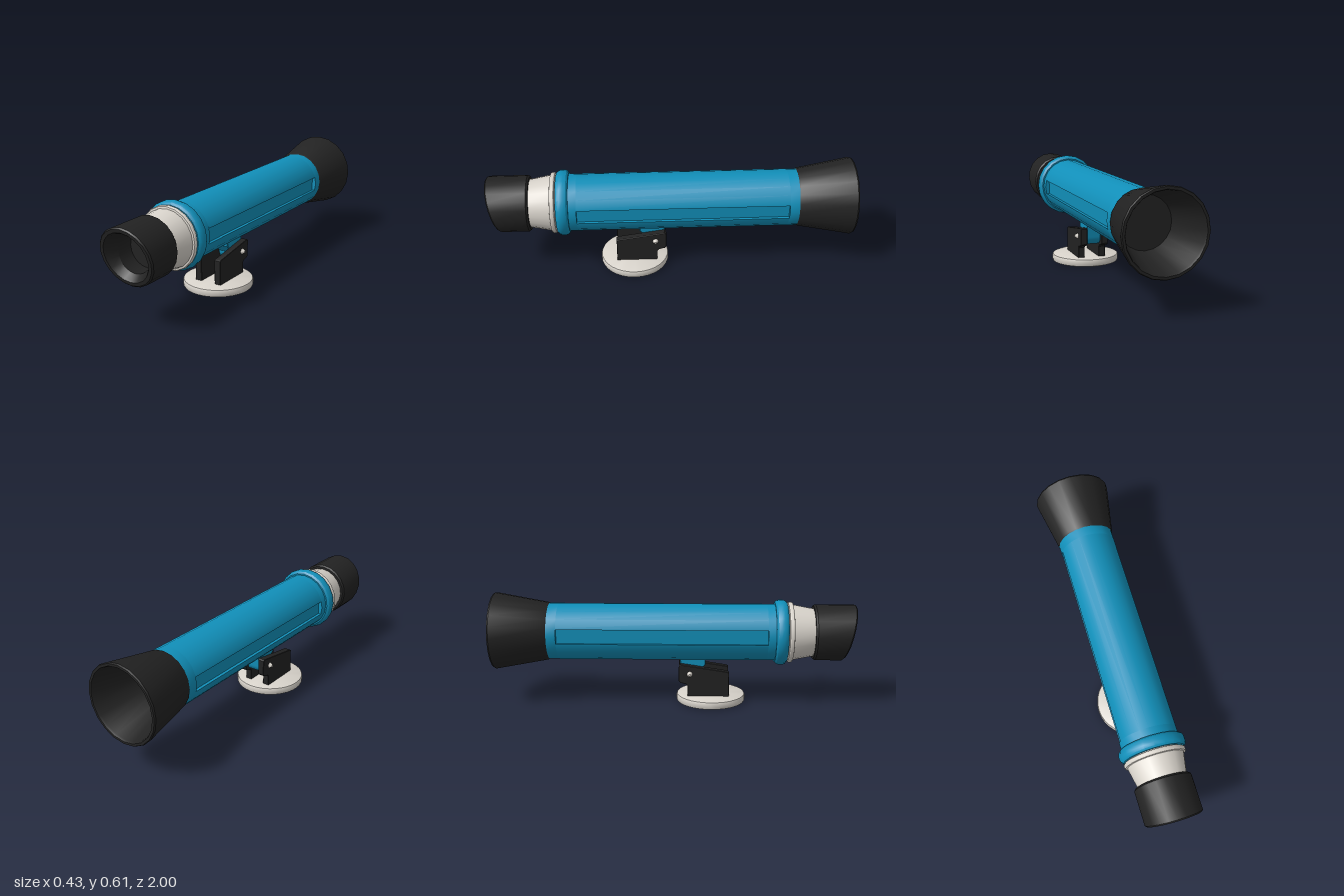
import * as THREE from 'three';
import { toCreasedNormals } from 'three/addons/utils/BufferGeometryUtils.js';

const AXIS_Y = 0.395; // height of the optical axis
const SIDES = 20;
const TUBE_R = 0.157;
const PIVOT = { y: 0.17, z: 0.087 };

const blue = new THREE.MeshStandardMaterial({ color: 0x118fb9 });
const black = new THREE.MeshStandardMaterial({ color: 0x222222 });
const pale = new THREE.MeshStandardMaterial({ color: 0xd8d3cb });

const crease = (geometry) => toCreasedNormals(geometry, 0.5);

function lathe(profile, sides = SIDES) {
  return new THREE.LatheGeometry(profile.map(([r, h]) => new THREE.Vector2(r, h)), sides);
}

// Lathe turned so that profile points are [radius, z]
const latheZ = (profile) => lathe(profile).rotateX(Math.PI / 2);

function add(parent, name, geometry, material, x = 0, y = 0, z = 0) {
  const mesh = new THREE.Mesh(crease(geometry), material);
  mesh.name = name;
  mesh.position.set(x, y, z);
  parent.add(mesh);
  return mesh;
}

// Side-on plate: the shape is drawn in (z, y) and has its thickness along x
function plate(shape, width, bevel) {
  return new THREE.ExtrudeGeometry(shape, {
    depth: width - 2 * bevel, bevelEnabled: true, bevelThickness: bevel,
    bevelSize: bevel, bevelOffset: -bevel, bevelSegments: 1, curveSegments: 10,
  }).translate(0, 0, -(width / 2 - bevel)).rotateY(-Math.PI / 2);
}

// Round section with a long notch in either side
function slottedSection() {
  const edgeX = 0.151, floorX = 0.134, half = 0.04;
  const points = [];
  for (const s of [1, -1]) {
    points.push([s * floorX, -s * half], [s * floorX, s * half], [s * edgeX, s * half]);
    for (let i = 1; i < SIDES / 2; i++) {
      const a = (i / SIDES) * Math.PI * 2;
      points.push([s * TUBE_R * Math.cos(a), s * TUBE_R * Math.sin(a)]);
    }
    points.push([-s * edgeX, s * half]);
  }
  return new THREE.Shape(points.map(([x, y]) => new THREE.Vector2(x, y)));
}

function createBarrel() {
  const barrel = new THREE.Group();
  barrel.name = 'barrel';
  barrel.position.y = AXIS_Y;

  // Main tube: slotted middle between two plain ends
  const slotted = new THREE.ExtrudeGeometry(slottedSection(), { depth: 1.15, bevelEnabled: false });
  add(barrel, 'slottedTube', slotted, blue, 0, 0, -0.64);
  const endRing = (z0, z1) => latheZ([[0, z0], [TUBE_R, z0], [TUBE_R, z1], [0, z1]]);
  add(barrel, 'tubeRearEnd', endRing(-0.7, -0.64), blue);
  add(barrel, 'tubeFrontEnd', endRing(0.51, 0.6), blue);

  // Rounded ring around the eyepiece end of the tube
  add(barrel, 'tubeRing', latheZ([
    [0.15, 0.553], [0.165, 0.553], [0.176, 0.563], [0.181, 0.578], [0.181, 0.596],
    [0.176, 0.61], [0.165, 0.62], [0, 0.62],
  ]), blue);

  // Tapered neck with a bead
  add(barrel, 'neck', latheZ([
    [0.15, 0.6], [0.15, 0.623], [0.164, 0.626], [0.168, 0.632], [0.168, 0.644], [0.164, 0.65],
    [0.154, 0.652], [0.153, 0.66], [0.13, 0.78], [0, 0.78],
  ]), pale);

  // Eyepiece with its rim sloping down and back
  const eyepiece = latheZ([
    [0, 0.766], [0.147, 0.766], [0.155, 0.776], [0.155, 0.957], [0.148, 0.965], [0.13, 0.965],
    [0.122, 0.955], [0.098, 0.9], [0.098, 0.81], [0, 0.81],
  ]);
  const p = eyepiece.attributes.position;
  for (let i = 0; i < p.count; i++) {
    if (p.getZ(i) > 0.93) p.setZ(i, p.getZ(i) + p.getY(i) * 0.23);
  }
  add(barrel, 'eyepiece', eyepiece, black);

  // Flared, hollow hood at the far end
  add(barrel, 'hood', latheZ([
    [0, -0.74], [0.135, -0.74], [0.192, -0.99], [0.197, -1], [0.21, -1], [0.214, -0.992],
    [0.161, -0.7], [0.155, -0.69], [0, -0.69],
  ]), black);
  return barrel;
}

function createMount() {
  const mount = new THREE.Group();
  mount.name = 'mount';

  // Foot disc
  add(mount, 'foot', lathe([
    [0, 0], [0.182, 0], [0.189, 0.003], [0.192, 0.01], [0.192, 0.034],
    [0.189, 0.041], [0.182, 0.044], [0, 0.044],
  ], 32), pale, 0, 0, 0.205);

  // Pair of upright brackets
  const side = new THREE.Shape([
    [0.305, 0.04], [0.305, 0.178], [0.295, 0.184], [0.035, 0.224], [0.026, 0.218],
    [0.026, 0.13], [0.035, 0.12], [0.068, 0.112], [0.076, 0.102], [0.076, 0.04],
  ].reverse().map(([z, y]) => new THREE.Vector2(z, y)));
  // Bolt head, tapering outwards
  const head = lathe([[0, 0], [0.016, 0], [0.016, 0.006], [0.006, 0.021], [0, 0.021]], 10);
  for (const s of [1, -1]) {
    const name = s > 0 ? 'left' : 'right';
    add(mount, name + 'Bracket', plate(side, 0.038, 0.002), black, s * 0.061);
    const bolt = head.clone().rotateZ(-s * Math.PI / 2);
    add(mount, name + 'Bolt', bolt, pale, s * 0.077, PIVOT.y, PIVOT.z);
  }

  // Hanging lug, rounded about the pivot
  const lug = new THREE.Shape();
  lug.moveTo(0.175, 0.27);
  lug.lineTo(0.03, 0.27);
  lug.lineTo(PIVOT.z - 0.05, PIVOT.y);
  lug.absarc(PIVOT.z, PIVOT.y, 0.05, Math.PI, Math.PI * 2, false);
  lug.lineTo(0.175, 0.215);
  add(mount, 'lug', plate(lug, 0.084, 0.004), blue);
  return mount;
}

export function createModel() {
  const model = new THREE.Group();
  model.name = 'telescope';
  model.add(createBarrel(), createMount());
  return model;
}
